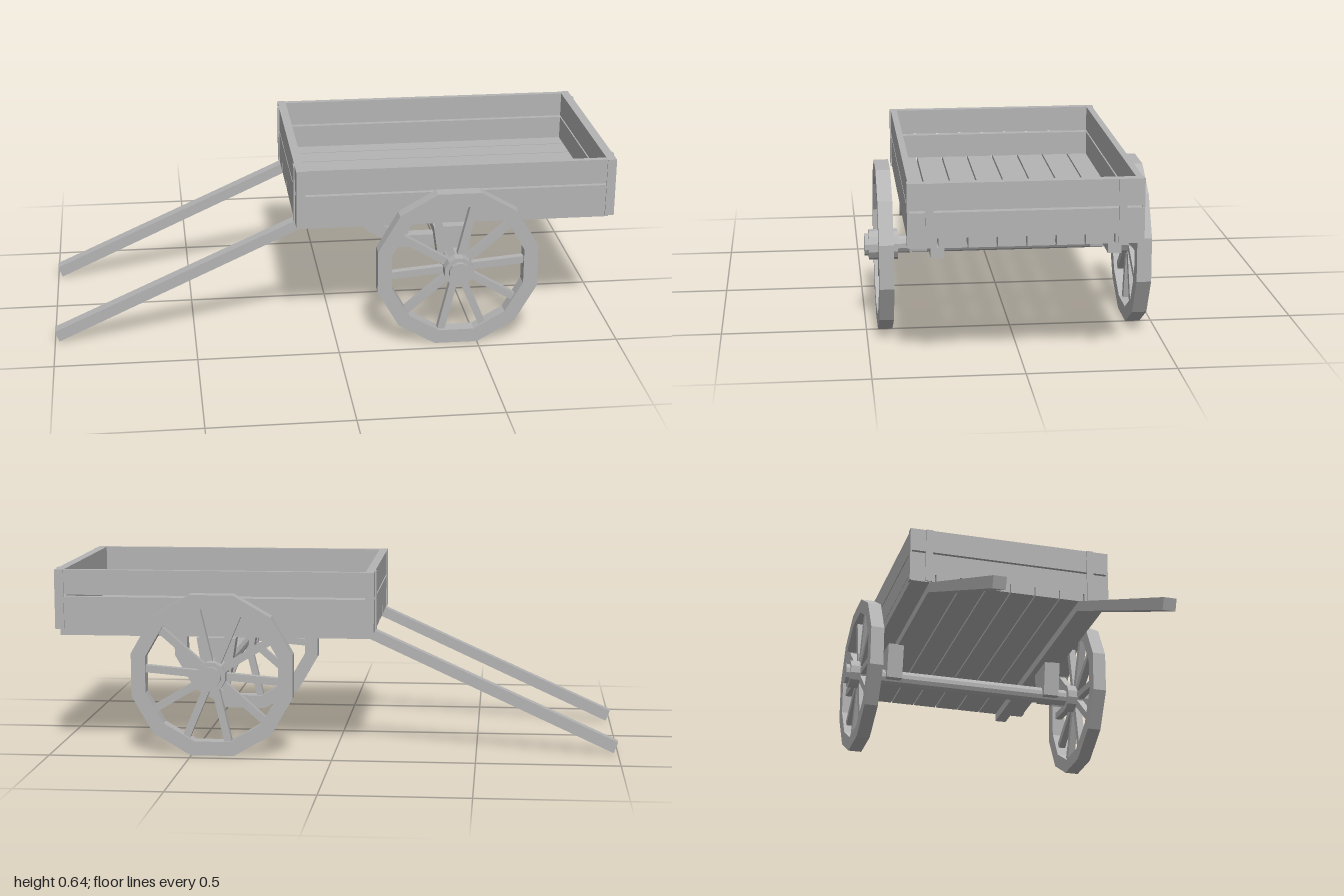
import * as THREE from 'three';

const wood = new THREE.MeshStandardMaterial({ color: 0xb4b4b4 });
wood.name = 'plain grey wood';

const AXLE_X = 0.425, AXLE_Y = 0.286;

function add(parent, name, geometry, x = 0, y = 0, z = 0) {
  const mesh = new THREE.Mesh(geometry, wood);
  mesh.name = name;
  mesh.position.set(x, y, z);
  parent.add(mesh);
  return mesh;
}

// box given by its lower and upper limits on each axis
function slab(parent, name, [x0, x1], [y0, y1], [z0, z1]) {
  return add(parent, name, new THREE.BoxGeometry(x1 - x0, y1 - y0, z1 - z0),
    (x0 + x1) / 2, (y0 + y1) / 2, (z0 + z1) / 2);
}

// faceted cylinder lying along z
function drum(radius, length, sides) {
  const g = new THREE.CylinderGeometry(radius, radius, length, sides);
  g.rotateY(Math.PI / sides);
  g.rotateX(Math.PI / 2);
  const flat = g.toNonIndexed();
  flat.computeVertexNormals();
  return flat;
}

function ringPoints(apothem, sides) {
  const r = apothem / Math.cos(Math.PI / sides);
  return Array.from({ length: sides }, (_, i) => {
    const a = (i + 0.5) / sides * Math.PI * 2;
    return new THREE.Vector2(r * Math.cos(a), r * Math.sin(a));
  });
}

function extrude(shape, depth) {
  const g = new THREE.ExtrudeGeometry(shape, { depth, bevelEnabled: false });
  return g.translate(0, 0, -depth / 2);
}

function createWheel(side) {
  const wheel = new THREE.Group();
  wheel.name = side > 0 ? 'frontWheel' : 'backWheel';

  // twelve-sided rim
  const rim = new THREE.Shape(ringPoints(0.285, 12));
  rim.holes.push(new THREE.Path(ringPoints(0.235, 12)));
  add(wheel, 'rim', extrude(rim, 0.05));

  // ten spokes
  for (let i = 0; i < 10; i++) {
    const a = (5 + i * 36) * Math.PI / 180;
    const spoke = add(wheel, 'spoke', new THREE.BoxGeometry(0.205, 0.026, 0.026),
      0.142 * Math.cos(a), 0.142 * Math.sin(a), 0);
    spoke.rotation.z = a;
  }

  // hub and outer cap
  add(wheel, 'hub', drum(0.053, 0.1, 12));
  add(wheel, 'hubCap', drum(0.038, 0.016, 12), 0, 0, side * 0.057);
  wheel.position.set(AXLE_X, AXLE_Y, side * 0.435);
  return wheel;
}

function createBed() {
  const bed = new THREE.Group();
  bed.name = 'bed';

  // eight floor planks with narrow gaps
  for (let i = 0; i < 8; i++) {
    const z = -0.378 + i * 0.0945;
    slab(bed, 'floorPlank', [-0.138, 0.996], [0.432, 0.465], [z + 0.0025, z + 0.092]);
  }

  // two rows of wall boards with a slit between them
  for (const rows of [[0.465, 0.549], [0.556, 0.645]]) {
    for (const s of [-1, 1]) {
      slab(bed, 'sideBoard', [-0.138, 0.996], rows, s > 0 ? [0.355, 0.377] : [-0.377, -0.355]);
    }
    slab(bed, 'frontBoard', [-0.138, -0.108], rows, [-0.355, 0.355]);
    slab(bed, 'tailBoard', [0.964, 0.996], rows, [-0.355, 0.355]);
  }

  // thin upright battens joining the boards at the corners
  for (const s of [-1, 1]) {
    const zEnd = s > 0 ? [0.297, 0.323] : [-0.323, -0.297];
    const zSide = s > 0 ? [0.374, 0.381] : [-0.381, -0.374];
    slab(bed, 'endBatten', [-0.143, -0.135], [0.435, 0.645], zEnd);
    slab(bed, 'endBatten', [0.993, 1.0], [0.435, 0.645], zEnd);
    slab(bed, 'sideBatten', [-0.138, -0.108], [0.435, 0.645], zSide);
    slab(bed, 'sideBatten', [0.964, 0.996], [0.435, 0.645], zSide);
  }
  return bed;
}

export function createModel() {
  const cart = new THREE.Group();
  cart.name = 'handcart';
  cart.add(createBed());

  // bottom rails that bend down into the pull shafts
  const shaft = new THREE.Shape([
    [-1, 0.042], [-0.985, 0.003], [-0.12, 0.4], [0.996, 0.4], [0.996, 0.433], [-0.135, 0.433],
  ].map(([x, y]) => new THREE.Vector2(x, y)));

  // axle block, a little wider at the top
  const block = new THREE.Shape([
    [-0.05, 0.27], [0.05, 0.27], [0.07, 0.402], [-0.07, 0.402],
  ].map(([x, y]) => new THREE.Vector2(x, y)));

  for (const s of [-1, 1]) {
    add(cart, 'railAndShaft', extrude(shaft, 0.044), 0, 0, s * 0.285);
    add(cart, 'axleBlock', extrude(block, 0.06), AXLE_X, 0, s * 0.315);
    cart.add(createWheel(s));
  }

  add(cart, 'axle', drum(0.031, 0.8, 12), AXLE_X, AXLE_Y, 0);
  return cart;
}
